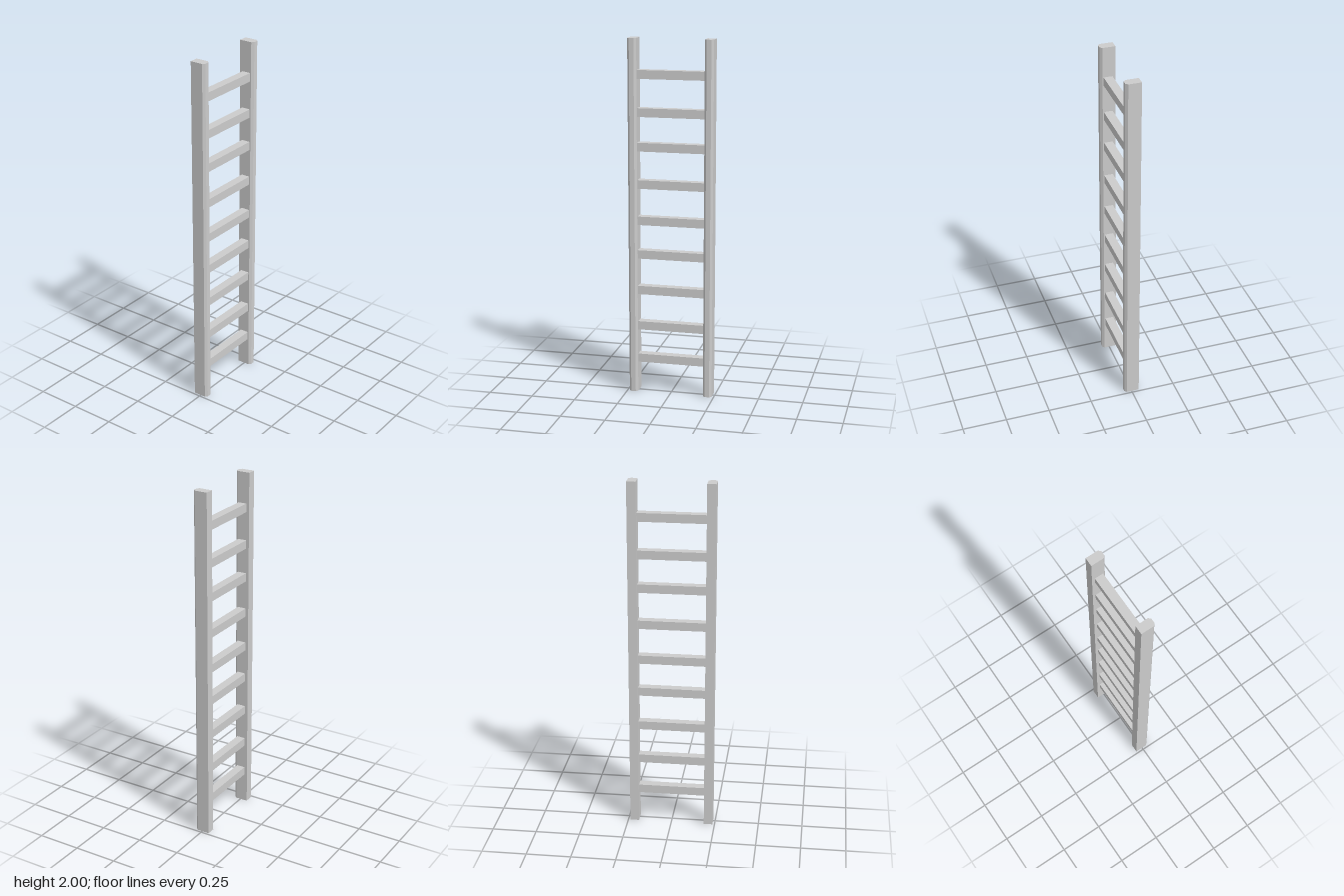
import * as THREE from 'three';

export function createModel() {
  const ladder = new THREE.Group();
  ladder.name = 'ladder';
  const material = new THREE.MeshStandardMaterial({ color: 0xcccccc, flatShading: true });

  // Side rail: rectangular section with its two front edges chamfered (shape y is -z)
  const halfWidth = 0.025, back = 0.043, front = -0.041, chamfer = 0.012;
  const section = new THREE.Shape([
    [-halfWidth, back],
    [-halfWidth, front + chamfer],
    [-halfWidth + chamfer, front],
    [halfWidth - chamfer, front],
    [halfWidth, front + chamfer],
    [halfWidth, back],
  ].map(([x, y]) => new THREE.Vector2(x, y)));
  const railGeometry = new THREE.ExtrudeGeometry(section, { depth: 2, bevelEnabled: false });
  railGeometry.rotateX(-Math.PI / 2);

  for (const [name, side] of [['leftRail', 1], ['rightRail', -1]]) {
    const rail = new THREE.Mesh(railGeometry, material);
    rail.name = name;
    rail.position.x = side * 0.213;
    ladder.add(rail);
  }

  // Rungs: slightly uneven spacing, ends meeting the inner rail faces
  const rungGeometry = new THREE.BoxGeometry(0.377, 0.048, 0.049);
  const rungHeights = [0.197, 0.389, 0.596, 0.802, 0.994, 1.199, 1.407, 1.597, 1.804];
  rungHeights.forEach((y, i) => {
    const rung = new THREE.Mesh(rungGeometry, material);
    rung.name = `rung${i + 1}`;
    rung.position.set(0, y, -0.0015);
    ladder.add(rung);
  });

  return ladder;
}
